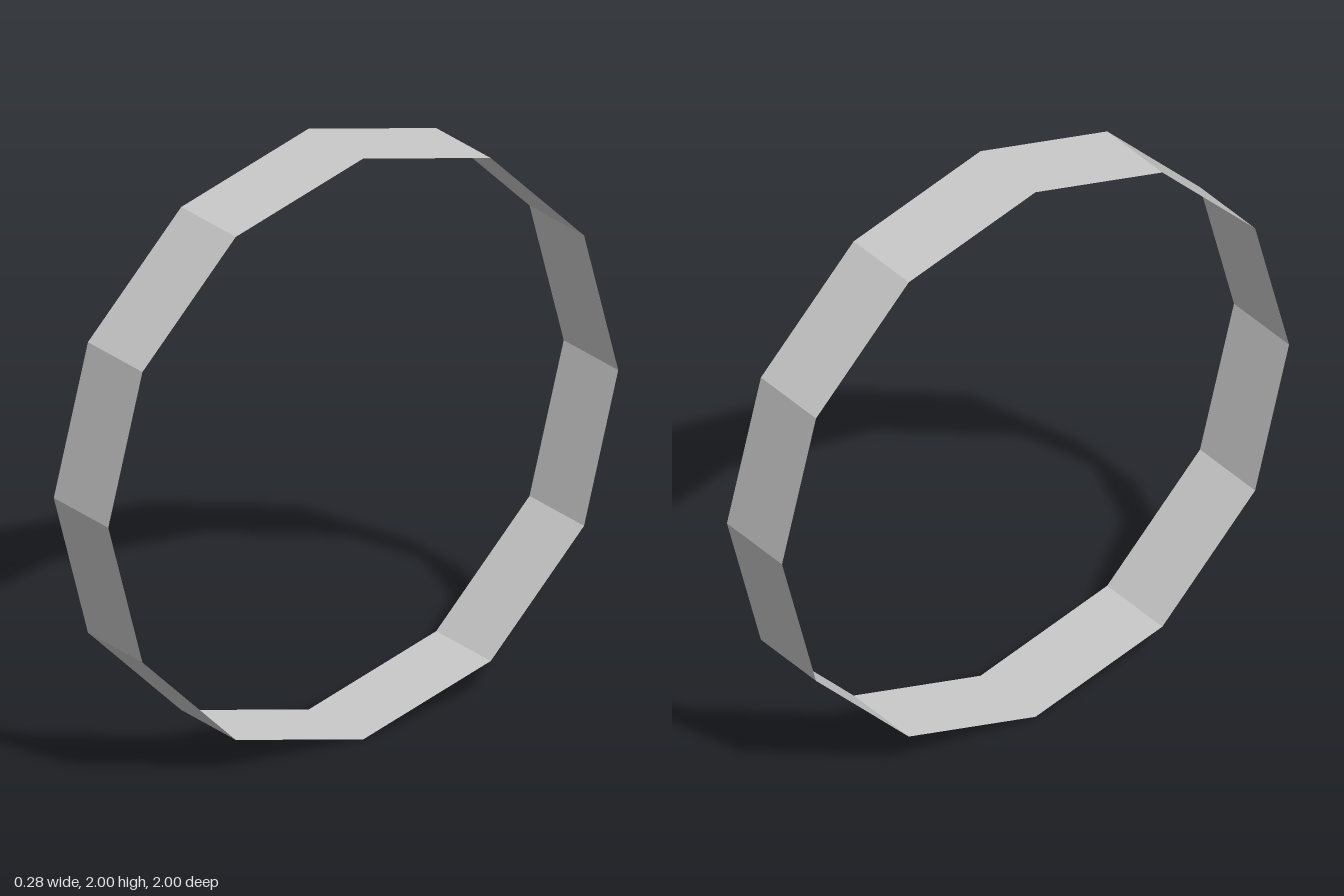
import * as THREE from 'three';

const RADIUS = 1;
const WIDTH = 0.285;
const SIDES = 12;

export function createModel() {
  const group = new THREE.Group();
  group.name = 'ring';

  // Thin twelve-sided band, open at both ends, with its axis along x
  const geometry = new THREE.CylinderGeometry(RADIUS, RADIUS, WIDTH, SIDES, 1, true);
  geometry.rotateZ(Math.PI / 2);
  geometry.translate(0, RADIUS, 0);

  const material = new THREE.MeshStandardMaterial({
    color: 0xcccccc,
    flatShading: true,
    side: THREE.DoubleSide,
  });
  const band = new THREE.Mesh(geometry, material);
  band.name = 'band';
  group.add(band);

  return group;
}
